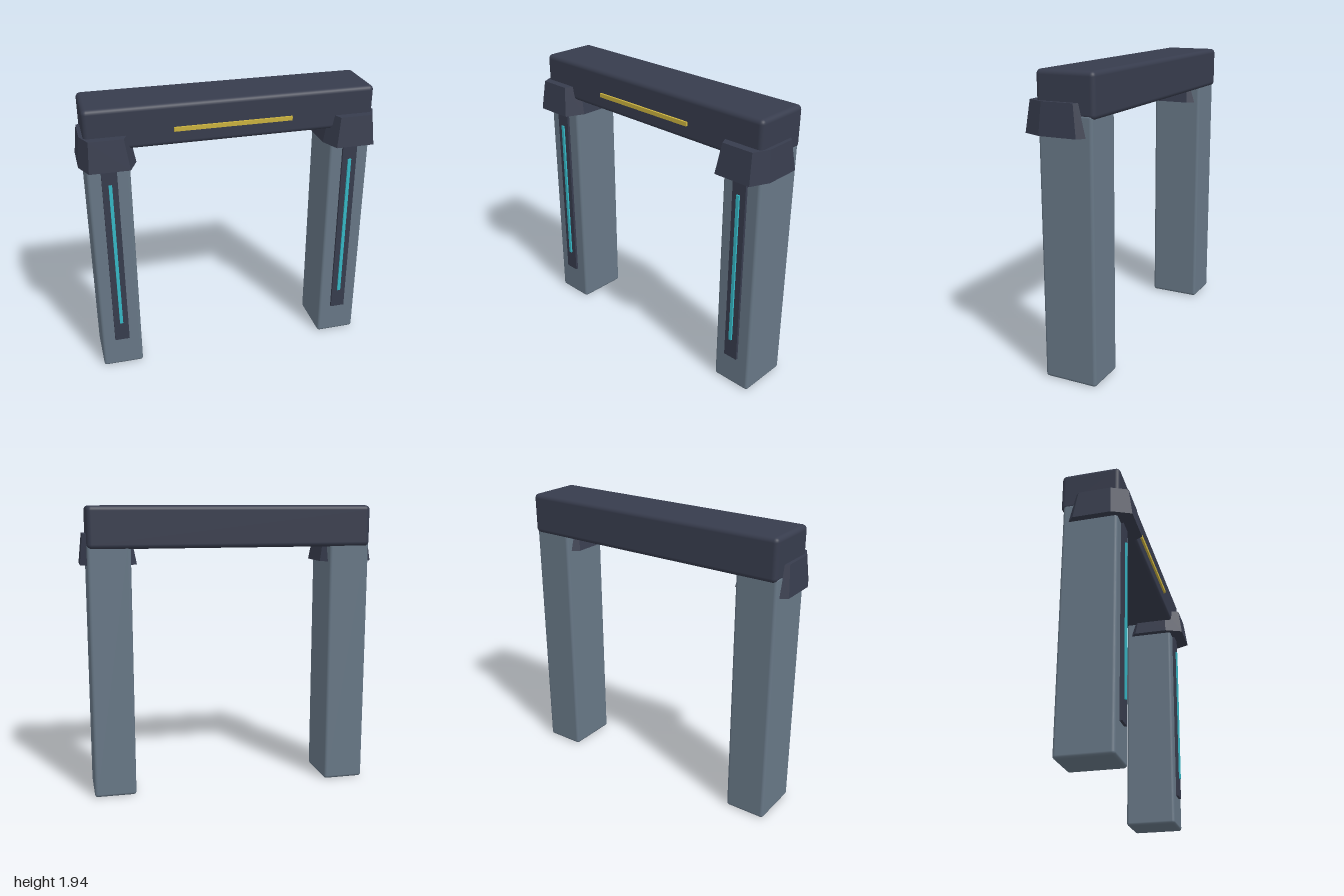
import * as THREE from 'three';
import { RoundedBoxGeometry } from 'three/addons/geometries/RoundedBoxGeometry.js';

const paint = (name, color) => {
  const m = new THREE.MeshStandardMaterial({ color });
  m.name = name;
  return m;
};

// Box given by its limits on each axis; a radius rounds its edges
function block(name, material, [x0, x1], [y0, y1], [z0, z1], radius = 0) {
  const size = [x1 - x0, y1 - y0, z1 - z0];
  const geometry = radius
    ? new RoundedBoxGeometry(...size, 3, radius)
    : new THREE.BoxGeometry(...size);
  const mesh = new THREE.Mesh(geometry, material);
  mesh.name = name;
  mesh.position.set((x0 + x1) / 2, (y0 + y1) / 2, (z0 + z1) / 2);
  return mesh;
}

// Eight-sided collar that narrows towards the top
function collar(side, material) {
  const outline = [
    [0.685, 0.235], [0.945, 0.235], [1.0, 0.11], [1.0, -0.14],
    [0.95, -0.185], [0.68, -0.185], [0.632, -0.14], [0.632, 0.11],
  ];
  const shape = new THREE.Shape(outline.map(([x, z]) => new THREE.Vector2(side * x, -z)));
  const geometry = new THREE.ExtrudeGeometry(shape, { depth: 0.2, bevelEnabled: false });
  geometry.rotateX(-Math.PI / 2);
  const p = geometry.attributes.position;
  for (let i = 0; i < p.count; i++) {
    if (p.getY(i) < 0.1) continue;
    p.setX(i, side * (0.8235 + (side * p.getX(i) - 0.816) * 0.845));
    p.setZ(i, 0.028 + (p.getZ(i) - 0.025) * 0.848);
  }
  geometry.computeVertexNormals();
  const mesh = new THREE.Mesh(geometry, material);
  mesh.name = 'collar';
  mesh.position.y = 1.56;
  return mesh;
}

export function createModel() {
  const slate = paint('slate grey', 0x677786);
  const navy = paint('dark navy', 0x373c4d);
  const cyan = paint('cyan light', 0x35b8c6);
  const yellow = paint('yellow light', 0xcbb23e);

  const model = new THREE.Group();
  model.name = 'gateway';

  // Lintel with its light bar
  model.add(block('lintel', navy, [-0.955, 0.955], [1.665, 1.94], [-0.238, 0.152], 0.03));
  model.add(block('lintelLight', yellow, [-0.39, 0.39], [1.76, 1.787], [0.145, 0.166]));

  // Matching pillars
  for (const side of [-1, 1]) {
    const pillar = new THREE.Group();
    pillar.name = side > 0 ? 'leftPillar' : 'rightPillar';
    const span = (a, b) => (side > 0 ? [a, b] : [-b, -a]);
    pillar.add(
      block('pillarBody', slate, span(0.676, 0.956), [0, 1.695], [-0.22, 0.14], 0.02),
      block('frontPanel', navy, span(0.765, 0.866), [0.225, 1.6], [0.13, 0.157]),
      block('lightStrip', cyan, span(0.803, 0.825), [0.37, 1.437], [0.15, 0.168]),
      collar(side, navy),
    );
    model.add(pillar);
  }
  return model;
}
